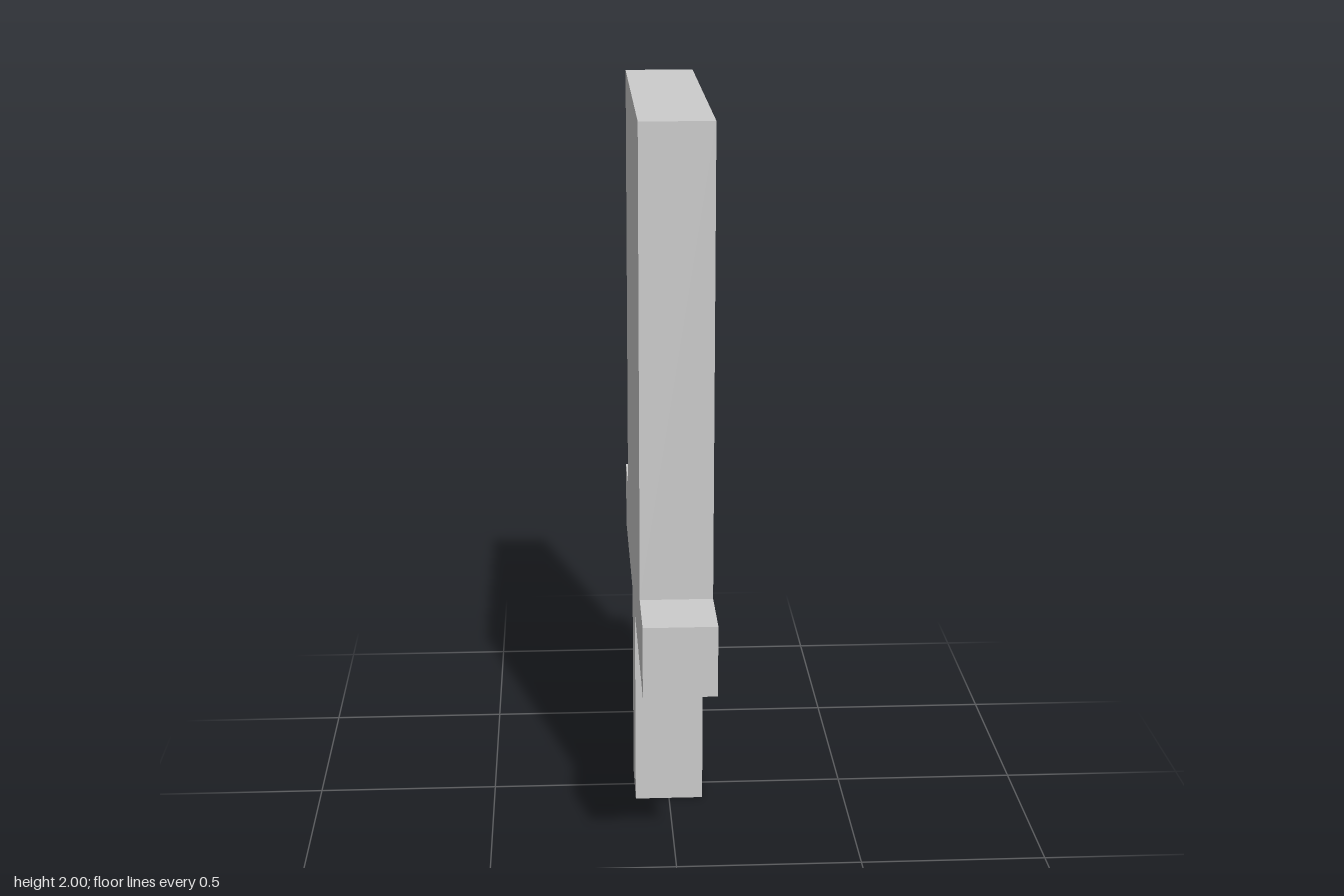
import * as THREE from 'three';

// The model sits on a square module: 10.5 modules tall, one module thick
const U = 2 / 10.5;

export function createModel() {
  const group = new THREE.Group();
  group.name = 'slabSword';

  // Half silhouette from the grip's foot up to the blade's top: [half width, height]
  const half = [
    [0.5, 0], [0.5, 3],     // grip
    [3.5, 3], [3.5, 4],     // crossguard
    [2.5, 4], [2.5, 10.5],  // blade
  ].map(([w, h]) => new THREE.Vector2(w * U, h * U));

  // Mirror it to close the outline
  const mirrored = half.map((p) => new THREE.Vector2(-p.x, p.y)).reverse();
  const outline = new THREE.Shape([...half, ...mirrored]);

  // Extrude to one module thick, centre it, and turn the width along z
  const geometry = new THREE.ExtrudeGeometry(outline, { depth: U, bevelEnabled: false });
  geometry.translate(0, 0, -U / 2);
  geometry.rotateY(Math.PI / 2);

  const material = new THREE.MeshStandardMaterial({ color: 0xcccccc, flatShading: true });
  const body = new THREE.Mesh(geometry, material);
  body.name = 'bladeGuardAndGrip';
  group.add(body);

  return group;
}
